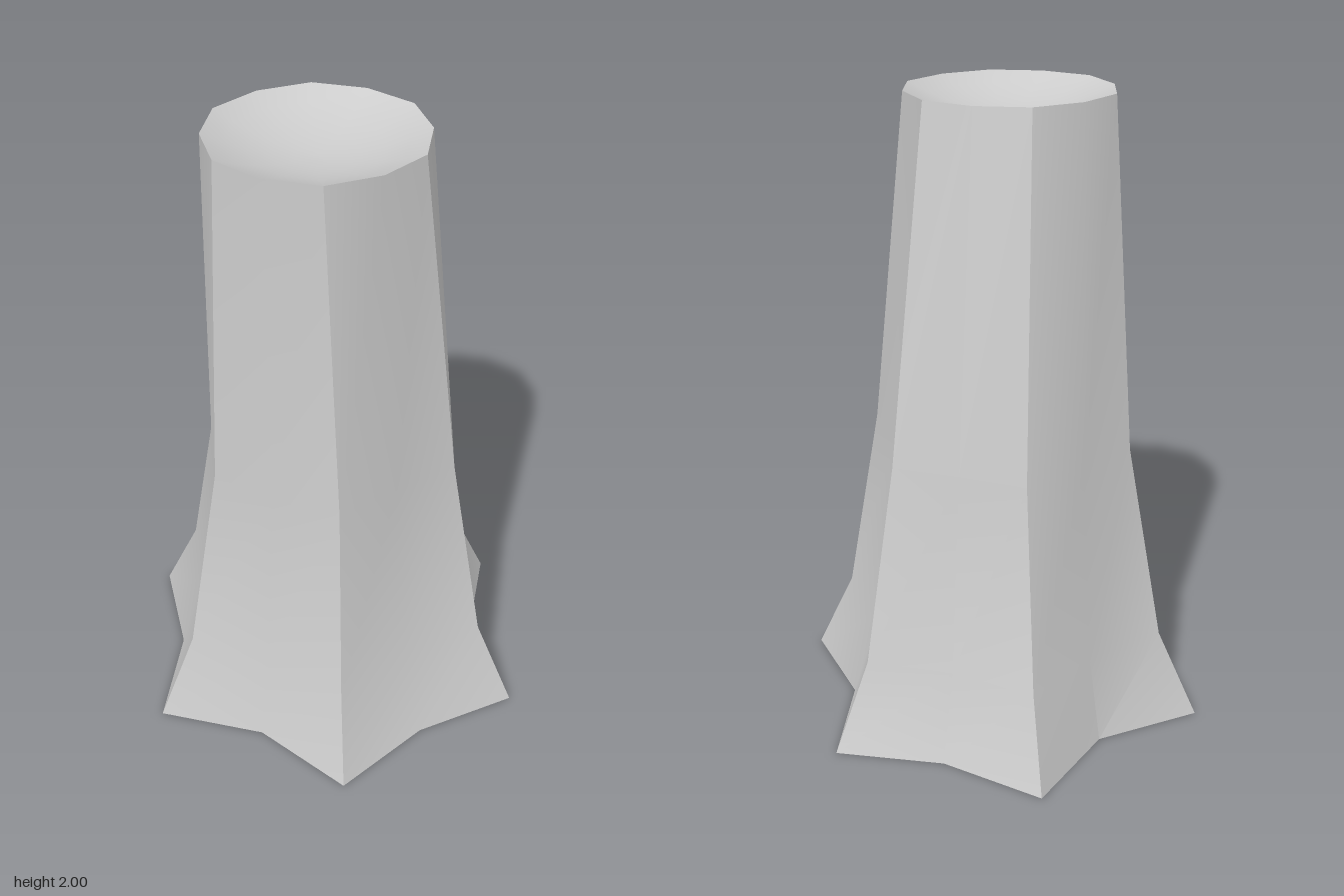
import * as THREE from 'three';
import { toCreasedNormals } from 'three/addons/utils/BufferGeometryUtils.js';

const SIDES = 12;

// Star-shaped ring: six equal ridges with individual valley radii between them
function starRing(y, ridge, valleys, cx = 0, cz = 0) {
  return Array.from({ length: SIDES }, (_, i) => {
    const a = (i * Math.PI) / 6;
    const r = i % 2 ? valleys[(i - 1) / 2] : ridge;
    return new THREE.Vector3(cx + r * Math.cos(a), y, cz + r * Math.sin(a));
  });
}

// Copy of a ring shrunk towards its centre and lowered
function dishRing(ring, center, s, depth) {
  return ring.map((p) => {
    const q = center.clone().lerp(p, s);
    q.y -= depth * (1 - s * s);
    return q;
  });
}

// Skin the rings, all diagonals turning the same way
function skin(rings, crease) {
  const points = [];
  for (let k = 0; k < rings.length - 1; k++) {
    for (let i = 0; i < SIDES; i++) {
      const j = (i + 1) % SIDES;
      const a = rings[k][i], b = rings[k][j];
      const c = rings[k + 1][i], d = rings[k + 1][j];
      points.push(a, c, b, b, c, d);
    }
  }
  return toCreasedNormals(new THREE.BufferGeometry().setFromPoints(points), crease);
}

export function createModel() {
  const group = new THREE.Group();
  group.name = 'trunk';
  const material = new THREE.MeshStandardMaterial({ color: 0xcccccc, side: THREE.DoubleSide });

  // Leaning top rim, almost round
  const center = new THREE.Vector3(-0.075, 2, 0.043);
  const rim = starRing(2, 0.33, Array(6).fill(0.322), center.x, center.z);

  // Flared bark with root ridges, open underneath
  const bark = new THREE.Mesh(skin([
    starRing(0, 0.684, [0.502, 0.54, 0.515, 0.53, 0.49, 0.53]),
    starRing(0.28, 0.55, [0.413, 0.447, 0.45, 0.453, 0.437, 0.445]),
    starRing(0.92, 0.43, [0.335, 0.365, 0.395, 0.385, 0.39, 0.37]),
    rim,
  ], 0.55), material);
  bark.name = 'bark';
  group.add(bark);

  // Slightly dished cut surface
  const dish = [1, 0.8, 0.6, 0.4, 0.2, 0.05, 0].map((s) => dishRing(rim, center, s, 0.08));
  const cut = new THREE.Mesh(skin(dish, 0.6), material);
  cut.name = 'cutTop';
  group.add(cut);

  return group;
}
